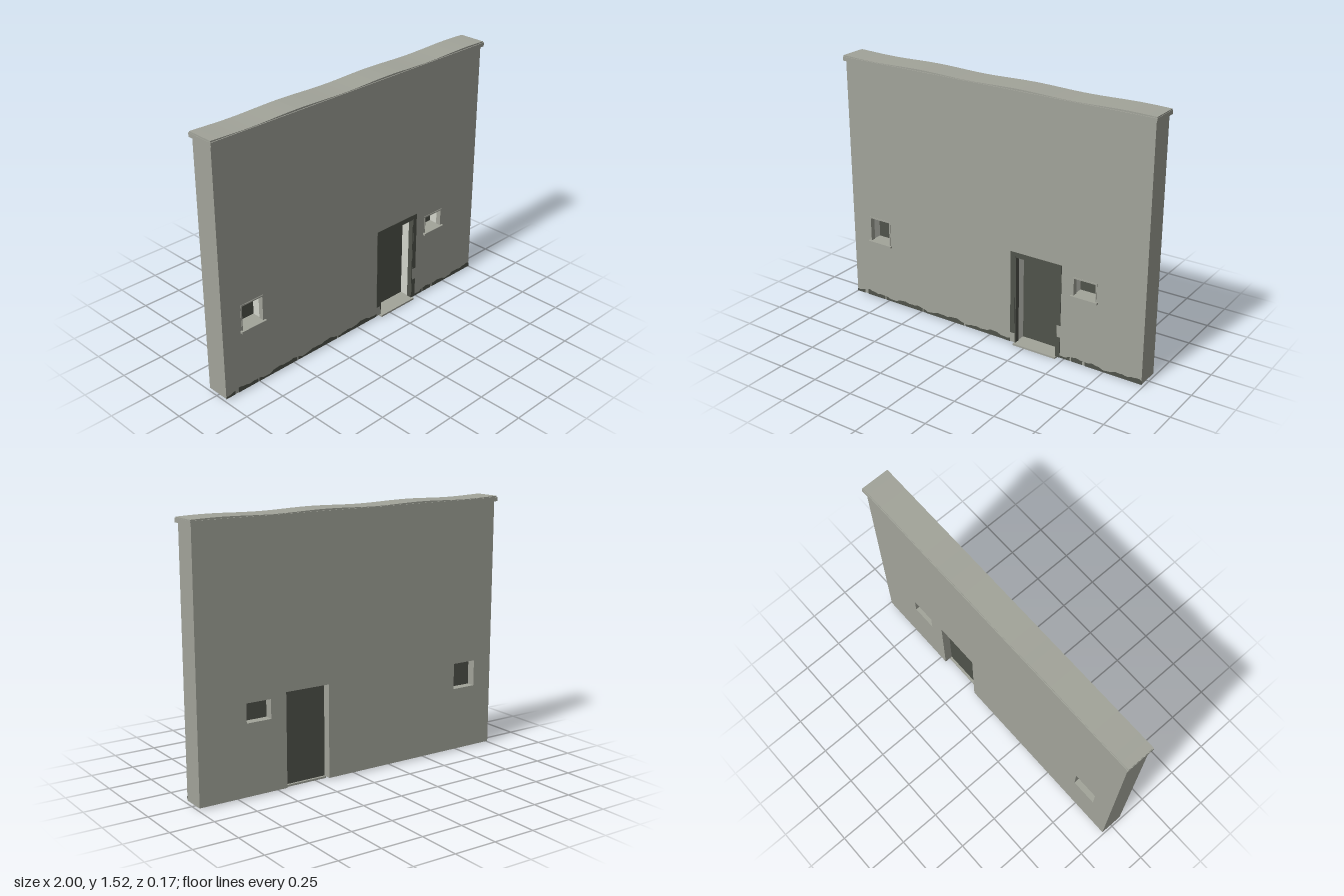
import * as THREE from 'three';

const mat = (name, color) => new THREE.MeshStandardMaterial({ name, color });

export function createModel() {
  const model = new THREE.Group();
  model.name = 'wallSection';
  const stone = mat('stone', 0xa2a49a);
  const dark = mat('darkStone', 0x50534b);
  const pale = mat('paleReveal', 0xd2d4ca);

  const add = (name, geometry, material, parent = model) => {
    const mesh = new THREE.Mesh(geometry, material);
    mesh.name = name;
    parent.add(mesh);
    return mesh;
  };
  // Box given by its limits on each axis
  const box = (name, material, [x0, x1], [y0, y1], [z0, z1], parent) => {
    const mesh = add(name, new THREE.BoxGeometry(x1 - x0, y1 - y0, z1 - z0), material, parent);
    mesh.position.set((x0 + x1) / 2, (y0 + y1) / 2, (z0 + z1) / 2);
    return mesh;
  };
  const extrude = (shape, z0, z1) => new THREE.ExtrudeGeometry(shape, { depth: z1 - z0, bevelEnabled: false }).translate(0, 0, z0);
  const polygon = (points) => new THREE.Shape(points.map(([x, y]) => new THREE.Vector2(x, y)));

  const half = 0.07;
  const door = { x0: 0.18, x1: 0.455, top: 0.553 };
  const windows = [
    { name: 'rightWindow', x0: -0.865, x1: -0.71, y0: 0.385, y1: 0.54 },
    { name: 'leftWindow', x0: 0.55, x1: 0.70, y0: 0.42, y1: 0.53 },
  ];

  // Wall with a door notch and two window holes
  const wall = polygon([
    [-0.99, 0.01], [door.x0, 0.01], [door.x0, door.top], [door.x1, door.top],
    [door.x1, 0.01], [0.99, 0.01], [0.99, 1.49], [-0.99, 1.49],
  ]);
  for (const w of windows) {
    wall.holes.push(new THREE.Path([
      [w.x0, w.y0], [w.x0, w.y1], [w.x1, w.y1], [w.x1, w.y0],
    ].map(([x, y]) => new THREE.Vector2(x, y))));
  }
  add('wall', extrude(wall, -half, half), stone);

  // Coping with a gently worn top
  box('coping', stone, [-1, 1], [1.487, 1.51], [-0.086, 0.086]);
  const worn = new THREE.Shape();
  worn.moveTo(-0.998, 1.509);
  worn.lineTo(0.998, 1.509);
  for (let i = 0; i <= 40; i++) {
    const x = 0.998 - (i / 40) * 1.996;
    worn.lineTo(x, 1.516 + 0.0035 * Math.cos((x - 0.2) * 9.8));
  }
  add('wornCopingTop', extrude(worn, -0.081, 0.081), stone);

  // Windows: recessed pane, pale reveals, slim frame and sill
  for (const w of windows) {
    const g = new THREE.Group();
    g.name = w.name;
    model.add(g);
    const t = 0.008, ys = [w.y0, w.y1], xs = [w.x0, w.x1], zf = [0.042, 0.073];
    box('pane', dark, xs, ys, [-0.019, -0.013], g);
    box('frameSideRight', stone, [w.x0, w.x0 + t], ys, zf, g);
    box('frameSideLeft', stone, [w.x1 - t, w.x1], ys, zf, g);
    box('frameTop', stone, xs, [w.y1 - t, w.y1], zf, g);
    box('revealRight', pale, [w.x0, w.x0 + 0.002], ys, [-0.013, 0.042], g);
    box('revealLeft', pale, [w.x1 - 0.002, w.x1], ys, [-0.013, 0.042], g);
    box('sill', stone, [w.x0 - 0.008, w.x1 + 0.008], [w.y0 - 0.01, w.y0 + 0.001], [0.042, 0.086], g);
  }

  // Doorway: recessed panel, inner frame, reveals and threshold
  const doorway = new THREE.Group();
  doorway.name = 'doorway';
  model.add(doorway);
  const doorY = [0.01, door.top];
  box('doorPanel', dark, [door.x0, door.x1], doorY, [-0.021, -0.015], doorway);
  box('innerFrameRight', dark, [door.x0, door.x0 + 0.006], doorY, [0.04, 0.071], doorway);
  box('innerFrameLeft', dark, [door.x1 - 0.006, door.x1], doorY, [0.04, 0.071], doorway);
  box('innerFrameTop', dark, [door.x0, door.x1], [door.top - 0.006, door.top], [0.04, 0.071], doorway);
  box('revealRight', pale, [door.x0, door.x0 + 0.002], doorY, [-0.015, 0.04], doorway);
  box('revealLeft', pale, [door.x1 - 0.002, door.x1], doorY, [-0.015, 0.04], doorway);
  box('threshold', stone, [0.178, 0.458], [0, 0.011], [-0.035, 0.088], doorway);

  // Broken painted surround
  const face = [half, 0.073];
  box('surroundRight', dark, [0.15, door.x0], [0.07, 0.578], face, doorway);
  box('surroundTop', dark, [door.x0, door.x1], [door.top, 0.578], face, doorway);
  box('surroundLeft', dark, [door.x1, 0.48], [0.21, 0.578], face, doorway);
  box('surroundLeftFoot', dark, [door.x1, 0.48], [0.01, 0.135], face, doorway);

  // Ragged dark band along the foot of the front
  const bands = [
    [-0.99, -0.93], [-0.905, -0.77], [-0.76, -0.485], [-0.475, -0.175], [-0.165, 0.148],
    [0.48, 0.545], [0.555, 0.625], [0.64, 0.99],
  ];
  const height = (x) => 0.031 + 0.006 * Math.sin(x * 21 + 1) + 0.005 * Math.sin(x * 47) + 0.002 * Math.sin(x * 131);
  for (const [a, b] of bands) {
    const points = [[a, 0.01], [b, 0.01]];
    const n = Math.ceil((b - a) / 0.015);
    for (let i = 0; i <= n; i++) {
      const x = b + (a - b) * (i / n);
      points.push([x, height(x)]);
    }
    add('footBand', extrude(polygon(points), half, 0.0725), dark);
  }
  return model;
}
